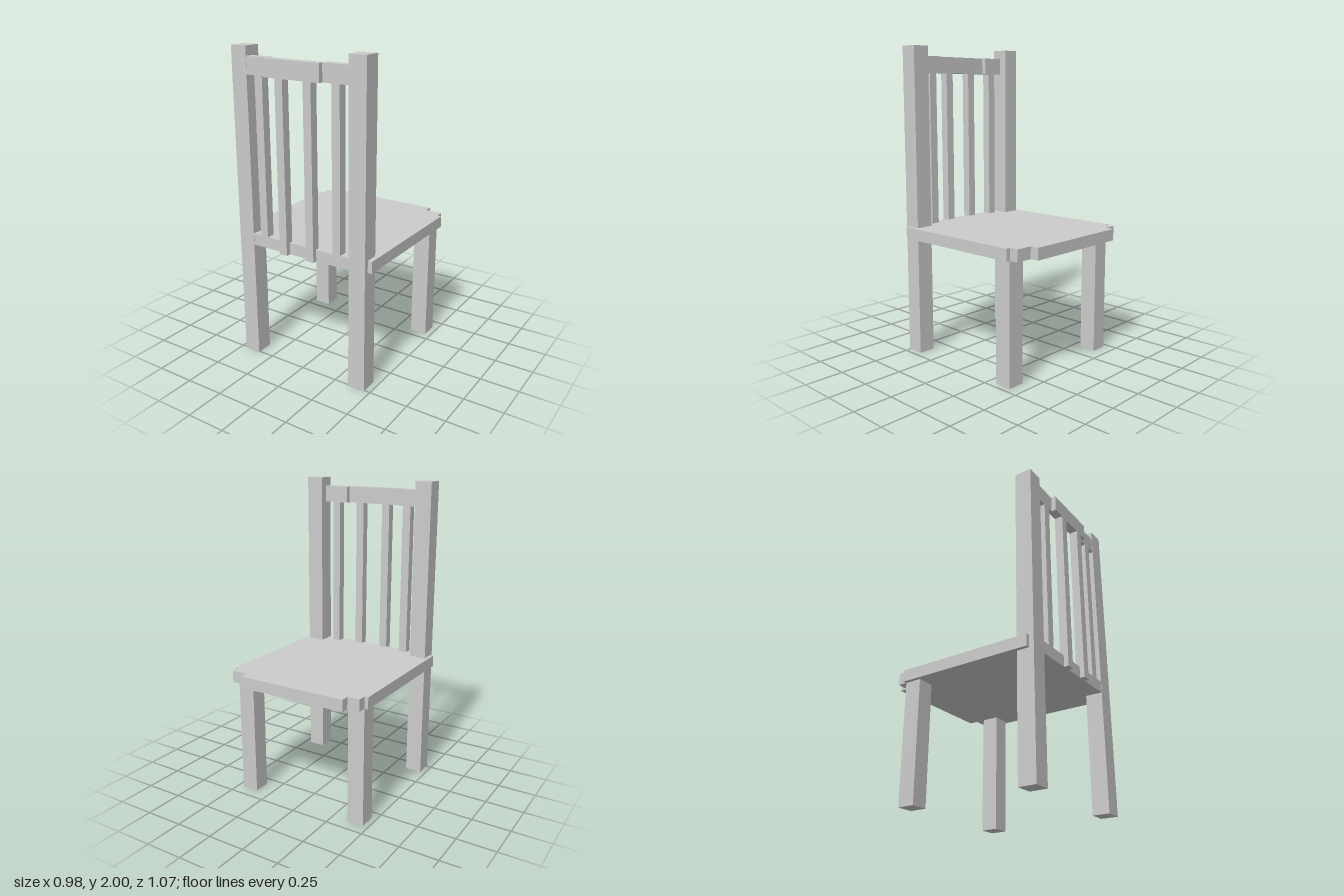
import * as THREE from 'three';

const material = new THREE.MeshStandardMaterial({ color: 0xcccccc, flatShading: true });

// Box given by its lower and upper limit on each axis
function block(name, [x0, x1], [y0, y1], [z0, z1]) {
  const mesh = new THREE.Mesh(new THREE.BoxGeometry(x1 - x0, y1 - y0, z1 - z0), material);
  mesh.position.set((x0 + x1) / 2, (y0 + y1) / 2, (z0 + z1) / 2);
  mesh.name = name;
  return mesh;
}

export function createModel() {
  const chair = new THREE.Group();
  chair.name = 'chair';
  const seatY = [0.77, 0.845];
  const innerZ = [0.45, 0.505]; // flush with the back posts
  const outerZ = [0.48, 0.535]; // stepped outwards in the middle

  // Seat slab with stepped corners, outline in x and z
  const outline = [
    [-0.385, -0.535], [0.35, -0.535], [0.35, -0.48], [0.462, -0.48], [0.462, -0.422], [0.49, -0.422],
    [0.49, 0.477], [0.35, 0.477], [0.35, 0.505], [-0.355, 0.505], [-0.355, 0.477], [-0.49, 0.477],
    [-0.49, -0.422], [-0.465, -0.422], [-0.465, -0.48], [-0.385, -0.48],
  ];
  const shape = new THREE.Shape(outline.map(([x, z]) => new THREE.Vector2(x, -z)));
  const seatGeometry = new THREE.ExtrudeGeometry(shape, { depth: seatY[1] - seatY[0], bevelEnabled: false });
  seatGeometry.rotateX(-Math.PI / 2);
  const seat = new THREE.Mesh(seatGeometry, material);
  seat.position.y = seatY[0];
  seat.name = 'seat';
  chair.add(seat);

  // Short legs under the seat and tall posts that carry the backrest
  for (const [side, x] of [['right', [-0.465, -0.355]], ['left', [0.35, 0.462]]]) {
    chair.add(block(side + 'ShortLeg', x, [0, seatY[0]], [-0.42, -0.31]));
    chair.add(block(side + 'BackPost', x, [0, 2], [0.395, 0.507]));
  }

  // Top rail in three stepped pieces
  const railY = [1.835, 1.942];
  chair.add(block('rightTopRail', [-0.355, -0.21], railY, innerZ));
  chair.add(block('middleTopRail', [-0.21, 0.18], railY, outerZ));
  chair.add(block('leftTopRail', [0.18, 0.35], railY, innerZ));

  // Backrest slats: the outer pair stands on the seat, the middle pair runs down behind it
  for (const x of [[-0.298, -0.243], [0.238, 0.292]])
    chair.add(block('outerSlat', x, [seatY[1], railY[0]], innerZ));
  for (const x of [[-0.128, -0.074], [0.068, 0.122]])
    chair.add(block('middleSlat', x, [seatY[0], railY[0]], outerZ));

  return chair;
}
